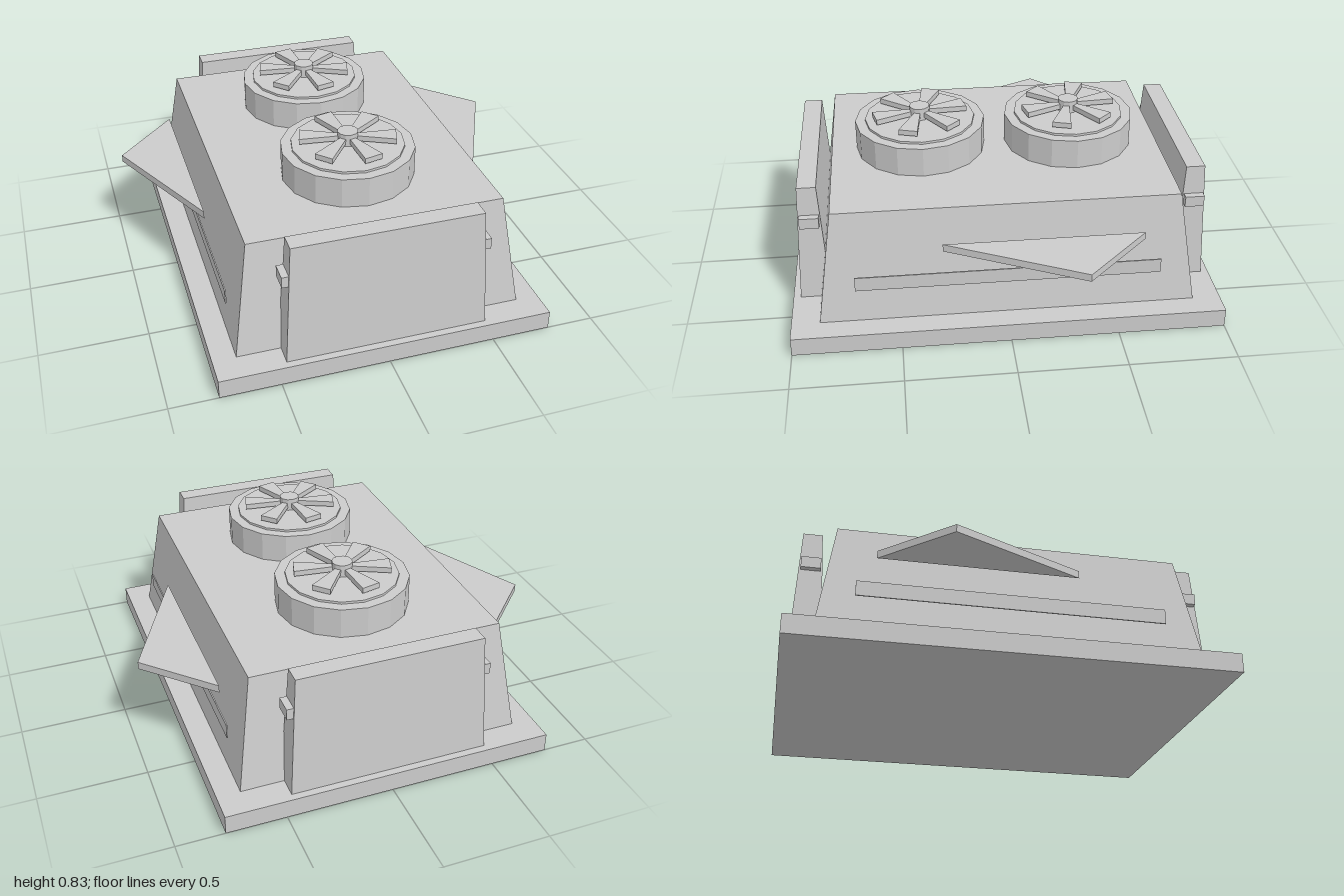
import * as THREE from 'three';

const material = new THREE.MeshStandardMaterial({ color: 0xcccccc, flatShading: true });

function add(parent, name, geometry, x = 0, y = 0, z = 0) {
  const mesh = new THREE.Mesh(geometry, material);
  mesh.name = name;
  mesh.position.set(x, y, z);
  parent.add(mesh);
  return mesh;
}

// Box standing on y = 0 whose top is scaled to a different width and depth
function taperedBox(bottomW, bottomD, topW, topD, height) {
  const g = new THREE.BoxGeometry(1, height, 1).translate(0, height / 2, 0);
  const p = g.attributes.position;
  for (let i = 0; i < p.count; i++) {
    const top = p.getY(i) > height / 2;
    p.setX(i, p.getX(i) * (top ? topW : bottomW));
    p.setZ(i, p.getZ(i) * (top ? topD : bottomD));
  }
  g.computeVertexNormals();
  return g;
}

// Flat plate from [x, z] corners, its top face at y = 0
function plate(corners, thickness) {
  const shape = new THREE.Shape(corners.map(([x, z]) => new THREE.Vector2(x, z)));
  return new THREE.ExtrudeGeometry(shape, { depth: thickness, bevelEnabled: false }).rotateX(Math.PI / 2);
}

function createFan() {
  const fan = new THREE.Group();
  fan.name = 'fan';
  add(fan, 'fanHousing', new THREE.CylinderGeometry(0.31, 0.31, 0.145, 16), 0, 0.6925);
  add(fan, 'fanDisc', new THREE.CylinderGeometry(0.262, 0.262, 0.02, 16), 0, 0.766);
  add(fan, 'fanHub', new THREE.CylinderGeometry(0.048, 0.048, 0.07, 12), 0, 0.8);
  const bladeShape = plate([[-0.012, -0.03], [0.012, -0.03], [0.045, -0.222], [-0.045, -0.222]], 0.026);
  for (let i = 0; i < 6; i++) {
    const blade = add(fan, 'fanBlade', bladeShape, 0, 0.814);
    blade.rotation.y = THREE.MathUtils.degToRad(13.5 + i * 60);
  }
  return fan;
}

export function createModel() {
  const model = new THREE.Group();
  model.name = 'fanUnit';

  // Base plate and tapered body
  add(model, 'base', new THREE.BoxGeometry(1.556, 0.09, 2), 0, 0.045);
  add(model, 'body', taperedBox(1.34, 1.74, 1.18, 1.58, 0.535), 0, 0.088);

  // Twin roof fans
  for (const z of [-0.36, 0.36]) {
    const fan = createFan();
    fan.position.z = z;
    model.add(fan);
  }

  // Front and back end panels with side latches
  for (const s of [-1, 1]) {
    add(model, 'endPanel', taperedBox(0.935, 0.145, 0.87, 0.088, 0.58), 0, 0.09, s * 0.893);
    for (const x of [-0.45, 0.45])
      add(model, 'panelLatch', new THREE.BoxGeometry(0.05, 0.053, 0.09), x, 0.503, s * 0.893);
  }

  // Side fins and trim strips
  for (const s of [-1, 1]) {
    add(model, 'sideFin', plate([[s * 0.672, -0.615], [s * 0.963, -0.315], [s * 0.672, 0.3]], 0.036), 0, 0.482);
    add(model, 'sideStrip', new THREE.BoxGeometry(0.006, 0.07, 1.4), s * 0.669, 0.292);
  }

  return model;
}
